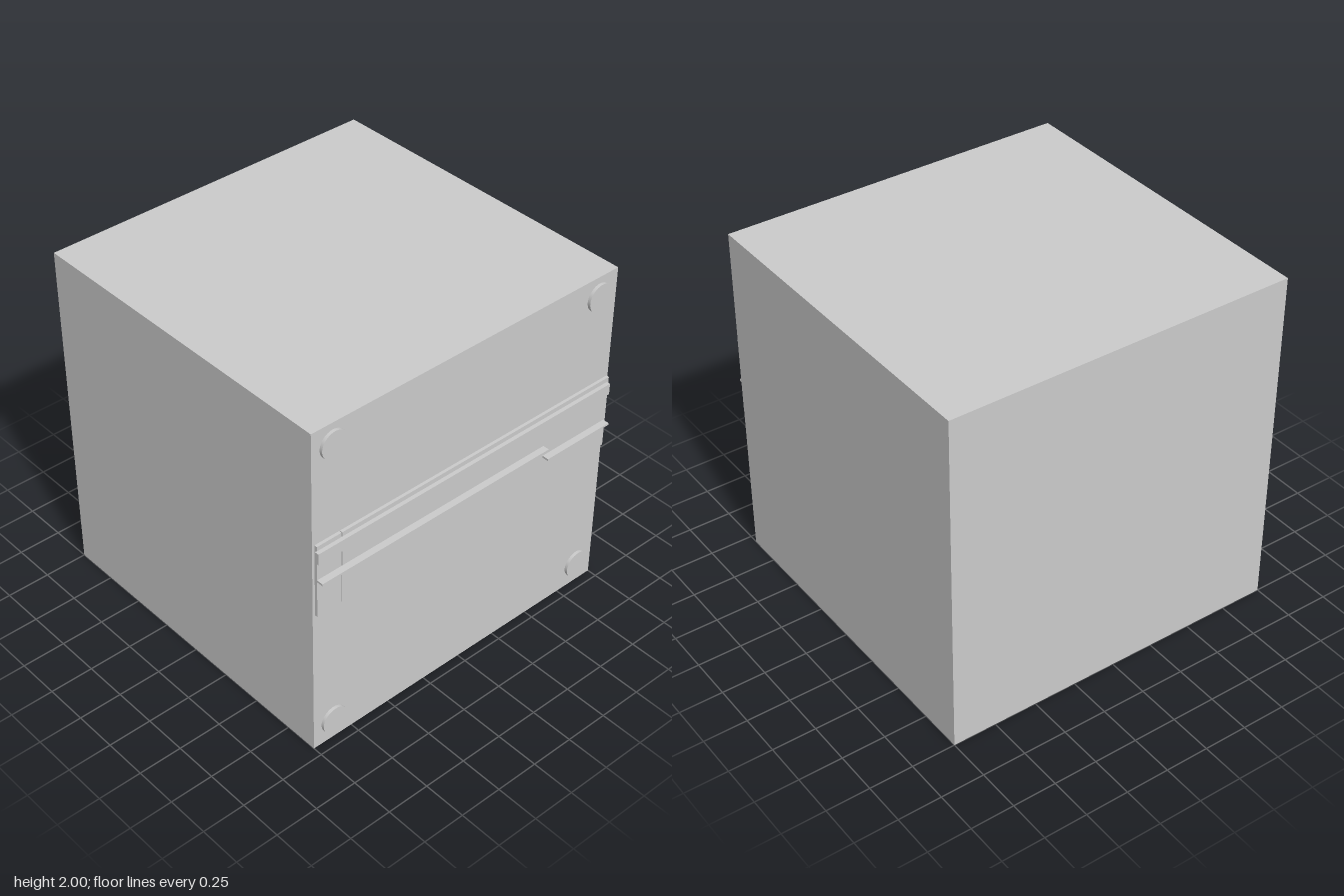
import * as THREE from 'three';

export function createModel() {
  const model = new THREE.Group();
  const material = new THREE.MeshStandardMaterial({ color: 0xcccccc });

  const add = (name, geometry, x, y, z) => {
    const mesh = new THREE.Mesh(geometry, material);
    mesh.name = name;
    mesh.position.set(x, y, z);
    model.add(mesh);
    return mesh;
  };

  // Box given by its limits on each axis
  const addBox = (name, [x0, x1], [y0, y1], [z0, z1]) =>
    add(name, new THREE.BoxGeometry(x1 - x0, y1 - y0, z1 - z0),
      (x0 + x1) / 2, (y0 + y1) / 2, (z0 + z1) / 2);

  const face = 0.945;      // front of the body
  const panelFace = 0.962; // front of the raised panel

  // Main block
  addBox('body', [-1, 1], [0, 2], [-1, face]);

  // Raised panel across the front, split by a thin seam near one end
  addBox('endPanel', [-0.985, -0.832], [0.902, 1.342], [face - 0.01, panelFace]);
  addBox('mainPanel', [-0.828, 0.992], [0.902, 1.342], [face - 0.01, panelFace]);

  // Wide bar and two thin ledges standing out from the panel
  addBox('topBar', [-0.995, 0.98], [1.25, 1.316], [panelFace - 0.002, 0.984]);
  addBox('longLedge', [-0.985, 0.53], [1.124, 1.136], [panelFace - 0.002, 1]);
  addBox('shortLedge', [0.53, 0.98], [1.06, 1.072], [panelFace - 0.002, 1]);

  // Round caps in the four corners
  const capDepth = 0.027;
  const capGeometry = new THREE.CylinderGeometry(0.079, 0.079, capDepth, 48);
  capGeometry.rotateX(Math.PI / 2);
  const caps = [[-0.87, 1.882], [0.873, 1.882], [-0.87, 0.129], [0.881, 0.129]];
  for (const [x, y] of caps) add('cornerCap', capGeometry, x, y, panelFace - capDepth / 2);

  return model;
}
